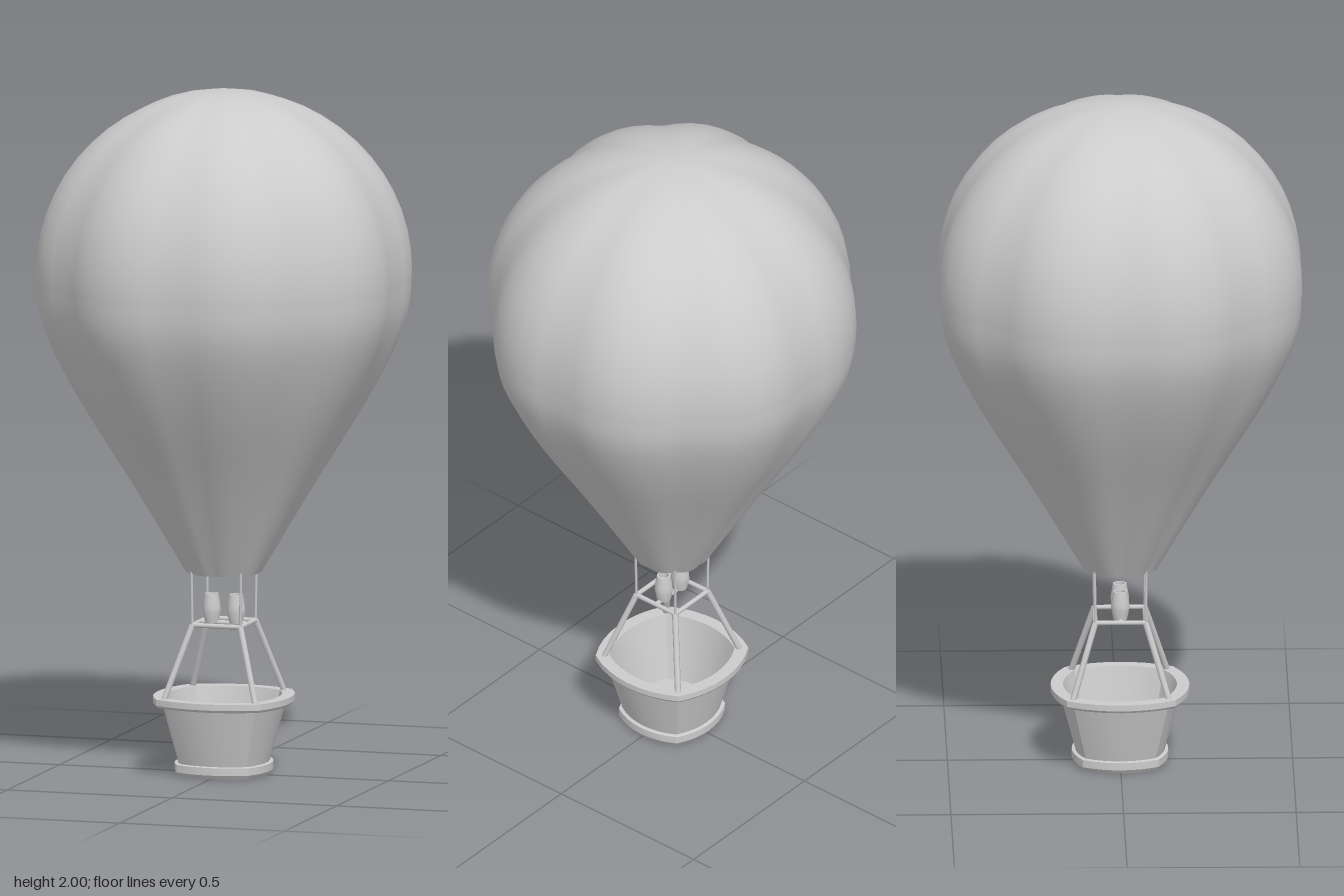
import * as THREE from 'three';
import { toCreasedNormals } from 'three/addons/utils/BufferGeometryUtils.js';

const grey = new THREE.MeshStandardMaterial({ color: 0xcccccc });
const thin = new THREE.MeshStandardMaterial({ color: 0xcccccc, side: THREE.DoubleSide });
const V2 = (x, y) => new THREE.Vector2(x, y);
const V3 = (x, y, z) => new THREE.Vector3(x, y, z);

function add(parent, name, geometry, material = grey) {
  const mesh = new THREE.Mesh(geometry, material);
  mesh.name = name;
  parent.add(mesh);
  return mesh;
}

// Lathe whose radius is multiplied by rule(angle); creased at a large scale so small edges stay exact
function shapedLathe(points, segments, rule, crease) {
  const geo = new THREE.LatheGeometry(points, segments);
  const p = geo.attributes.position;
  for (let i = 0; i < p.count; i++) {
    const f = rule(Math.atan2(p.getX(i), p.getZ(i)));
    p.setXYZ(i, p.getX(i) * f, p.getY(i), p.getZ(i) * f);
  }
  return toCreasedNormals(geo.scale(100, 100, 100), crease).scale(0.01, 0.01, 0.01);
}

// Straight bar between two points
function bar(parent, name, a, b, radius, sides) {
  const mesh = add(parent, name, new THREE.CylinderGeometry(radius, radius, a.distanceTo(b), sides));
  mesh.position.copy(a).add(b).multiplyScalar(0.5);
  mesh.quaternion.setFromUnitVectors(V3(0, 1, 0), b.clone().sub(a).normalize());
  return mesh;
}

// Square with bulging sides: each quarter is an arc
function bulgedSquare(angle) {
  const quarter = Math.PI / 2;
  const t = angle - Math.round(angle / quarter) * quarter;
  return -0.5 * Math.cos(t) + Math.sqrt(2.25 - 0.25 * Math.sin(t) ** 2);
}

export function createModel() {
  const model = new THREE.Group();
  model.name = 'hotAirBalloon';

  // Envelope: tapered skirt below, dome above, eight puffed gores, open mouth
  const skirt = new THREE.SplineCurve([
    V2(0.104, 0.59), V2(0.25, 0.85), V2(0.388, 1.085), V2(0.468, 1.245), V2(0.506, 1.36), V2(0.515, 1.47),
  ]).getPoints(20);
  const dome = [];
  for (let i = 1; i <= 14; i++) {
    const a = (i / 14) * Math.PI / 2;
    dome.push(V2(i === 14 ? 0 : 0.515 * Math.cos(a), 1.47 + 0.53 * Math.sin(a)));
  }
  const gores = (angle) => 1 + 0.062 * Math.abs(Math.sin(4 * angle));
  add(model, 'envelope', shapedLathe([...skirt, ...dome], 48, gores, 0.6), thin);

  // Basket: base band, flared wall, overhanging rim, hollow inside
  const basketProfile = [
    V2(0, 0), V2(0.132, 0), V2(0.14, 0.012), V2(0.14, 0.034), V2(0.13, 0.036),
    V2(0.175, 0.205), V2(0.196, 0.205), V2(0.201, 0.212), V2(0.201, 0.23),
    V2(0.165, 0.23), V2(0.12, 0.035), V2(0, 0.035),
  ];
  add(model, 'basket', shapedLathe(basketProfile, 32, bulgedSquare, 0.5));

  // Burner frame with poles down to the rim and cords up to the mouth
  const rig = new THREE.Group();
  rig.name = 'rigging';
  model.add(rig);
  const f = 0.073, y = 0.44;
  for (const [sx, sz] of [[1, 1], [1, -1], [-1, -1], [-1, 1]]) {
    const corner = V3(sx * f, y, sz * f);
    bar(rig, 'pole', V3(sx * 0.14, 0.222, sz * 0.14), corner, 0.009, 8);
    bar(rig, 'cord', corner, V3(sx * 0.075, 0.61, sz * 0.075), 0.004, 6);
    bar(rig, 'frameBar', corner, V3(sz * f, y, -sx * f), 0.007, 8);
  }
  bar(rig, 'burnerBar', V3(-f, y, 0), V3(f, y, 0), 0.007, 8);

  // Twin barrel-shaped burners
  const burnerProfile = [
    V2(0, 0.44), V2(0.02, 0.44), V2(0.027, 0.475), V2(0.026, 0.49),
    V2(0.02, 0.525), V2(0.015, 0.525), V2(0.015, 0.505), V2(0, 0.505),
  ];
  for (const side of [-1, 1]) {
    const burner = add(rig, 'burner', shapedLathe(burnerProfile, 12, () => 1, 0.55));
    burner.position.x = side * 0.037;
  }
  return model;
}
